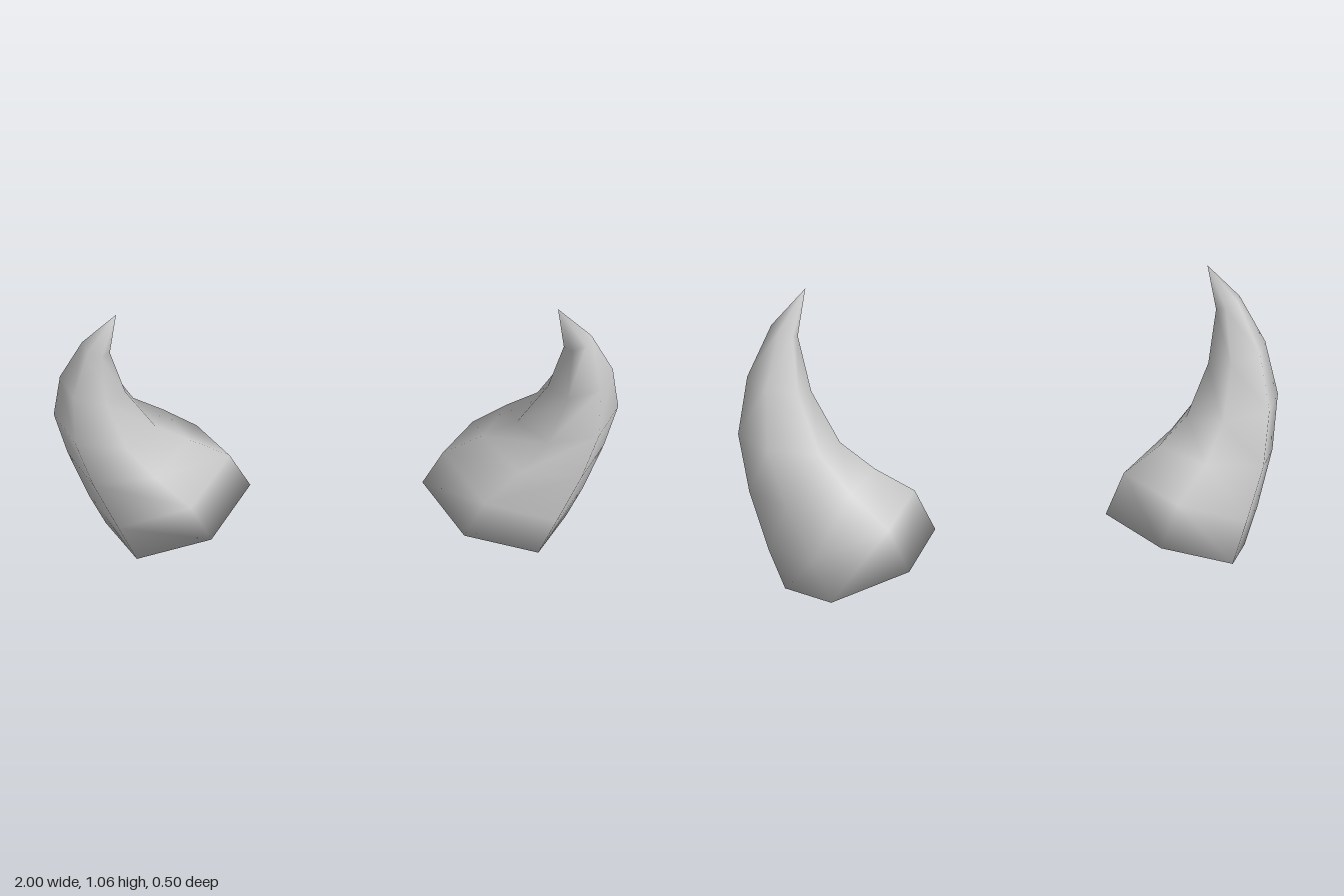
import * as THREE from 'three';

const hornMaterial = new THREE.MeshStandardMaterial({ color: 0xcccccc });
hornMaterial.name = 'horn grey';

// Six-sided cross-sections: inner x, inner y, outer x, outer y, back z, front z
const rings = [
  [0.32, 0.178, 0.87, 0.0, -0.25, 0.25],
  [0.39, 0.33, 0.92, 0.15, -0.225, 0.25],
  [0.53, 0.42, 0.975, 0.37, -0.17, 0.23],
  [0.645, 0.515, 1.0, 0.575, -0.08, 0.217],
  [0.735, 0.70, 0.955, 0.77, 0.01, 0.207],
  [0.77, 0.895, 0.86, 0.94, 0.10, 0.19],
];
const tip = [0.735, 1.06, 0.16];
const sides = 6;

// One curved horn; side is +1 for the left horn, -1 for its mirror image
function makeHorn(side) {
  const positions = [];
  const index = [];
  const face = (a, b, c) => index.push(...(side > 0 ? [a, b, c] : [a, c, b]));

  for (const [xi, yi, xo, yo, zb, zf] of rings) {
    for (let i = 0; i < sides; i++) {
      const angle = (i / sides) * Math.PI * 2;
      const t = 0.5 + 0.5 * Math.cos(angle);
      const depth = Math.sin(angle) / Math.sin(Math.PI / 3);
      positions.push(
        side * (xi + (xo - xi) * t),
        yi + (yo - yi) * t,
        (zb + zf) / 2 + depth * (zf - zb) / 2
      );
    }
  }
  const tipIndex = rings.length * sides;
  positions.push(side * tip[0], tip[1], tip[2]);

  // Walls, closed to the tip
  for (let r = 0; r < rings.length; r++) {
    for (let i = 0; i < sides; i++) {
      const a = r * sides + i;
      const b = r * sides + ((i + 1) % sides);
      if (r === rings.length - 1) {
        face(a, tipIndex, b);
      } else {
        face(a, a + sides, b);
        face(b, a + sides, b + sides);
      }
    }
  }
  // Base, sharing the wall's corners so the shading runs over the edge
  for (let i = 1; i < sides - 1; i++) face(0, i, i + 1);

  const geometry = new THREE.BufferGeometry();
  geometry.setAttribute('position', new THREE.Float32BufferAttribute(positions, 3));
  geometry.setIndex(index);
  geometry.computeVertexNormals();
  return new THREE.Mesh(geometry, hornMaterial);
}

export function createModel() {
  const group = new THREE.Group();
  group.name = 'pair of horns';
  for (const [name, side] of [['leftHorn', 1], ['rightHorn', -1]]) {
    const horn = makeHorn(side);
    horn.name = name;
    group.add(horn);
  }
  return group;
}
